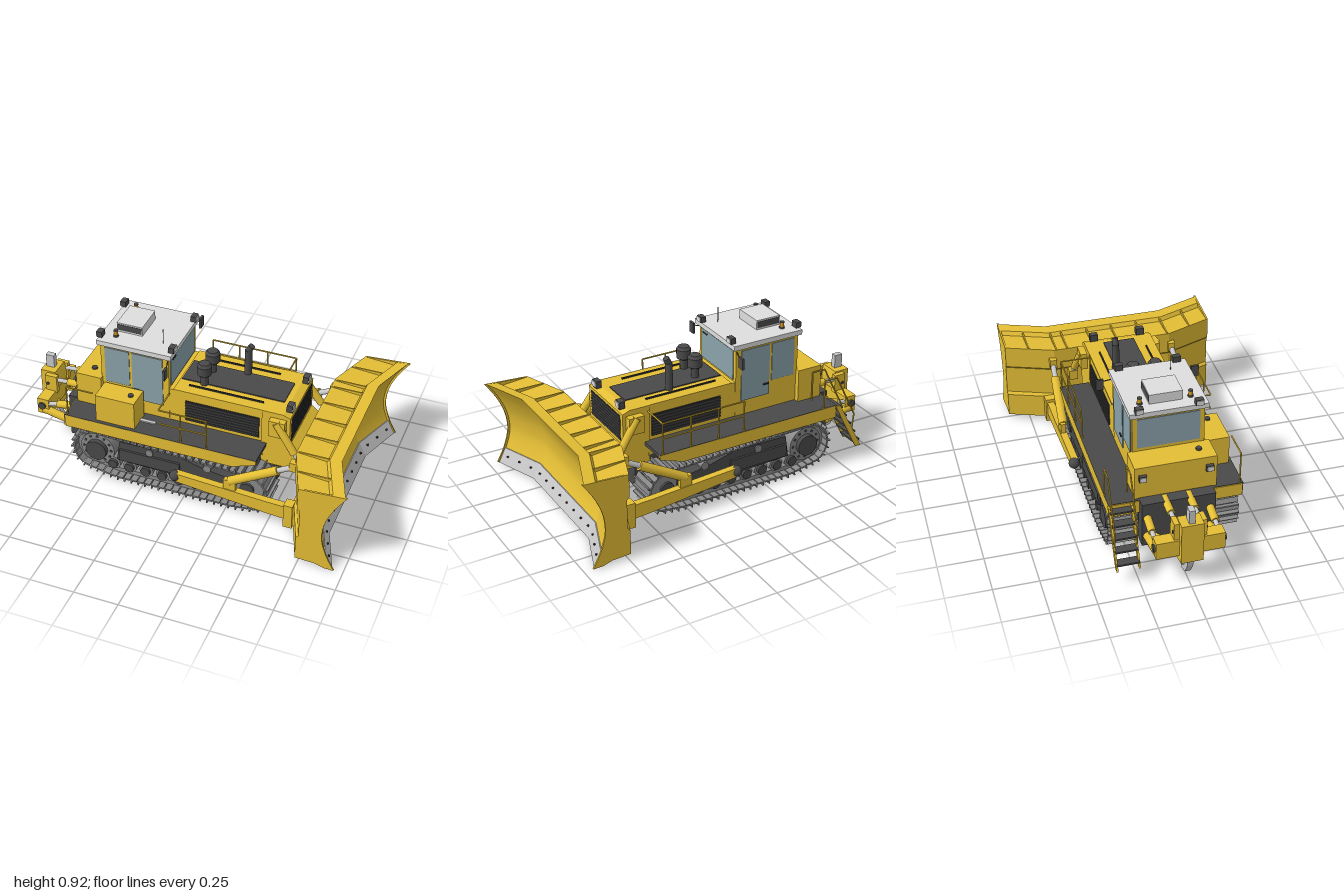
import * as THREE from 'three';
import { mergeGeometries, toCreasedNormals } from 'three/addons/utils/BufferGeometryUtils.js';

const mat = (name, color) => {
  const m = new THREE.MeshStandardMaterial({ color });
  m.name = name;
  return m;
};

export function createModel() {
  const root = new THREE.Group();
  root.name = 'bulldozer';
  const yellow = mat('yellow paint', 0xe4be35), dark = mat('dark grey', 0x4a4a4a), black = mat('black', 0x2e2e2e);
  const light = mat('bright metal', 0xc8c8c8), white = mat('roof white', 0xdedede), steel = mat('track steel', 0x8a8a8a);
  const glass = mat('glass', 0x8aa2aa), amber = mat('amber', 0xd99a20);
  const V = (x, y, z) => new THREE.Vector3(x, y, z);

  const add = (name, geo, m) => {
    const mesh = new THREE.Mesh(geo, m);
    mesh.name = name;
    root.add(mesh);
    return mesh;
  };
  const boxGeo = (x0, x1, y0, y1, z0, z1) =>
    new THREE.BoxGeometry(Math.abs(x1 - x0), Math.abs(y1 - y0), Math.abs(z1 - z0))
      .translate((x0 + x1) / 2, (y0 + y1) / 2, (z0 + z1) / 2);
  const box = (name, m, ...b) => add(name, boxGeo(...b), m);
  const rod = (name, m, a, b, r, r2 = r, n = 14) => {
    const mesh = add(name, new THREE.CylinderGeometry(r2, r, a.distanceTo(b), n), m);
    mesh.position.copy(a).lerp(b, 0.5);
    mesh.quaternion.setFromUnitVectors(V(0, 1, 0), b.clone().sub(a).normalize());
    return mesh;
  };
  const plate = (name, m, pts, z0, z1) => add(name, new THREE.ExtrudeGeometry(
    new THREE.Shape(pts.map(p => new THREE.Vector2(...p))), { depth: z1 - z0, bevelEnabled: false }).translate(0, 0, z0), m);
  const rails = (name, pts, r = 0.0045) => pts.slice(1).forEach((p, i) => rod(name, yellow, V(...pts[i]), V(...p), r, r, 6));
  // hydraulic cylinder: thick barrel, then a thin bright rod
  const ram = (name, a, b, r, split = 0.65) => {
    const mid = a.clone().lerp(b, split);
    rod(name + 'Barrel', yellow, a, mid, r);
    rod(name + 'Rod', light, mid, b, r * 0.6);
  };

  // Blade: one section swept across, with both wings angled forward
  const HALF = 0.62, MID = 0.35;
  const shift = z => -0.1 + 0.1 * Math.max(0, Math.abs(z) - MID) / (HALF - MID);
  const sweep = pts => {
    const g = new THREE.ExtrudeGeometry(new THREE.Shape(pts), { depth: 2 * HALF, steps: 3, bevelEnabled: false });
    const p = g.attributes.position;
    for (let i = 0; i < p.count; i++) {
      const z0 = p.getZ(i) - HALF, z = Math.abs(z0) < 0.5 ? Math.sign(z0) * MID : z0;
      p.setXYZ(i, p.getX(i) + shift(z), p.getY(i), z);
    }
    return toCreasedNormals(g, 0.28);
  };
  const P = (x, y) => new THREE.Vector2(x, y);
  const face = new THREE.SplineCurve([P(0.94, 0.005), P(0.897, 0.088), P(0.868, 0.18), P(0.866, 0.25),
    P(0.882, 0.33), P(0.925, 0.425), P(0.985, 0.515)]).getPoints(24);
  const back = [P(0.735, 0.5), P(0.735, 0.37), P(0.75, 0.355), P(0.75, 0.185), P(0.735, 0.17), P(0.735, 0.027)];
  const section = [...back, P(0.84, 0.022), P(0.89, 0.005), ...face, P(0.92, 0.508), P(0.905, 0.485)];
  add('blade', sweep(section), yellow);
  add('cuttingEdge', sweep([P(0.935, 0.001), P(0.945, 0.001), P(0.903, 0.086), P(0.89, 0.086)]), light);
  for (let i = 0; i < 14; i++) {
    const z = (i - 6.5) * 0.0875, x = 0.92 + shift(z);
    rod('edgeBolt', black, V(x, 0.047, z), V(x + 0.009, 0.051, z), 0.006, 0.006, 8);
  }
  for (const z of [-0.49, -0.335, -0.27, -0.115, 0.035, 0.19, 0.34, 0.49])
    box('bladeTopRib', yellow, 0.74 + shift(z), 0.915 + shift(z), 0.47, 0.504, z - 0.004, z + 0.004);
  for (const s of [-1, 1]) {
    const end = section.slice(0, -2).map(p => [p.x + (p.x > 0.85 ? 0.01 : 0), p.y]);
    plate('bladeEndPlate', yellow, end, s * 0.617 - 0.005, s * 0.617 + 0.005);
  }

  // Hull and side decks
  box('hull', dark, -0.69, 0.48, 0.12, 0.33, -0.19, 0.19);
  box('frameTop', yellow, -0.69, 0.4, 0.3, 0.385, -0.2, 0.2);
  for (const s of [-1, 1]) {
    plate('deckSide', yellow, [[-0.7, 0.31], [0.28, 0.31], [0.42, 0.36], [0.42, 0.385], [-0.7, 0.385]],
      s * 0.36 - 0.006, s * 0.36 + 0.006);
    box('deck', dark, -0.705, 0.42, 0.366, 0.387, s * 0.18, s * 0.365);
  }
  box('rearDeckEdge', yellow, -0.71, -0.69, 0.31, 0.384, -0.36, 0.36);

  // Hood and radiator guard
  box('hood', yellow, -0.16, 0.4, 0.38, 0.595, -0.19, 0.19);
  box('hoodTopPanel', dark, -0.11, 0.48, 0.6, 0.607, -0.09, 0.09);
  plate('radiatorGuard', yellow, [[0.39, 0.25], [0.6, 0.25], [0.6, 0.36], [0.55, 0.4], [0.55, 0.585], [0.51, 0.601], [0.39, 0.601]], -0.197, 0.197);
  box('hoodTopSkin', yellow, -0.12, 0.4, 0.59, 0.601, -0.195, 0.195);
  box('frontGrille', black, 0.545, 0.552, 0.42, 0.568, -0.17, 0.17);
  for (let i = 0; i < 8; i++) box('frontGrilleSlat', dark, 0.551, 0.554, 0.428 + i * 0.018, 0.434 + i * 0.018, -0.17, 0.17);
  for (const s of [-1, 1]) {
    box('sideGrille', black, -0.05, 0.375, 0.41, 0.54, s * 0.188, s * 0.196);
    for (let i = 0; i < 7; i++)
      box('sideGrilleSlat', dark, -0.05, 0.375, 0.417 + i * 0.018, 0.423 + i * 0.018, s * 0.194, s * 0.2);
    box('hoodGrabBar', black, -0.05, 0.38, 0.605, 0.613, s * 0.137 - 0.004, s * 0.137 + 0.004);
    box('headlight', dark, 0.515, 0.548, 0.598, 0.64, s * 0.137 - 0.023, s * 0.137 + 0.023);
    box('headlightLens', white, 0.548, 0.553, 0.605, 0.636, s * 0.137 - 0.02, s * 0.137 + 0.02);
  }

  // Air cleaners and exhaust stack
  for (const z of [-0.037, 0.088]) {
    const profile = [[0, 0.6], [0.022, 0.6], [0.022, 0.662], [0.038, 0.67], [0.041, 0.674], [0.041, 0.725], [0.03, 0.741], [0, 0.745]];
    add('airCleaner', toCreasedNormals(new THREE.LatheGeometry(profile.map(p => P(...p)), 20), 0.5), dark).position.set(0.02, 0, z);
  }
  rod('exhaustStack', dark, V(0.21, 0.6, -0.087), V(0.21, 0.76, -0.087), 0.021);
  rod('exhaustTip', dark, V(0.207, 0.75, -0.087), V(0.228, 0.79, -0.087), 0.018);

  // Cab
  box('cabLower', yellow, -0.545, -0.145, 0.38, 0.56, -0.192, 0.192);
  box('cabUpper', yellow, -0.545, -0.145, 0.55, 0.8, -0.195, 0.195);
  for (const s of [-1, 1]) {
    box('rearSideWindow', glass, -0.52, -0.375, 0.555, 0.78, s * 0.19, s * 0.199);
    box('frontSideWindow', glass, -0.36, -0.18, 0.475, 0.78, s * 0.19, s * 0.199);
    box('doorHandle', black, -0.35, -0.32, 0.54, 0.548, s * 0.195, s * 0.206);
  }
  box('windshield', glass, -0.15, -0.141, 0.605, 0.78, -0.17, 0.17);
  box('rearWindow', glass, -0.549, -0.54, 0.6, 0.78, -0.17, 0.17);
  rod('wiper', black, V(-0.139, 0.763, 0.15), V(-0.139, 0.763, 0.105), 0.004, 0.004, 6);
  box('roof', white, -0.56, -0.125, 0.796, 0.825, -0.212, 0.212);
  box('airConditioner', white, -0.49, -0.34, 0.82, 0.88, -0.09, 0.09);
  for (const s of [-1, 1]) box('airConditionerVent', dark, -0.485, -0.345, 0.835, 0.872, s * 0.086, s * 0.0915);
  rod('antenna', dark, V(-0.21, 0.82, 0.107), V(-0.21, 0.915, 0.107), 0.002, 0.002, 6);
  for (const s of [-1, 1]) {
    rod('beaconBase', dark, V(-0.475, 0.82, s * 0.137), V(-0.475, 0.836, s * 0.137), 0.015);
    rod('beacon', amber, V(-0.475, 0.836, s * 0.137), V(-0.475, 0.86, s * 0.137), 0.012);
    rod('beaconCap', dark, V(-0.475, 0.86, s * 0.137), V(-0.475, 0.865, s * 0.137), 0.013);
    for (const [x, d] of [[-0.555, -1], [-0.135, 1]]) {
      box('roofLamp', dark, x - 0.016, x + 0.016, 0.825, 0.858, s * 0.16 - 0.022, s * 0.16 + 0.022);
      box('roofLampLens', white, x + d * 0.015, x + d * 0.02, 0.829, 0.855, s * 0.16 - 0.019, s * 0.16 + 0.019);
    }
    box('mirror', dark, -0.143, -0.13, 0.714, 0.778, s * 0.244, s * 0.286);
    rod('mirrorArm', dark, V(-0.15, 0.78, s * 0.19), V(-0.137, 0.765, s * 0.25), 0.003, 0.003, 6);
  }

  // Fuel tank, side box
  box('fuelTank', yellow, -0.69, -0.54, 0.37, 0.58, -0.222, 0.222);
  rod('fuelCap', dark, V(-0.61, 0.58, 0.145), V(-0.61, 0.59, 0.145), 0.016);
  box('sideBox', yellow, -0.52, -0.29, 0.385, 0.555, 0.212, 0.345);
  rod('sideBoxCap', dark, V(-0.335, 0.555, 0.28), V(-0.335, 0.565, 0.28), 0.015);
  box('sideStep', light, -0.29, -0.2, 0.387, 0.395, 0.25, 0.27);
  for (const s of [-1, 1]) {
    box('rearLamp', dark, -0.71, -0.69, 0.5, 0.535, s * 0.18 - 0.02, s * 0.18 + 0.02);
    box('rearLampLens', white, -0.714, -0.709, 0.504, 0.531, s * 0.18 - 0.016, s * 0.18 + 0.016);
  }

  // Handrails
  rails('leftRail', [[-0.14, 0.57, 0.2], [-0.14, 0.57, 0.36], [0.135, 0.57, 0.36], [0.135, 0.385, 0.36]]);
  rails('leftRailPost', [[-0.013, 0.57, 0.36], [-0.013, 0.385, 0.36]]);
  rails('leftMidRail', [[-0.14, 0.48, 0.36], [0.135, 0.48, 0.36]]);
  rails('leftRearRail', [[-0.53, 0.57, 0.35], [-0.69, 0.57, 0.35], [-0.69, 0.385, 0.35]]);
  rails('rightRail', [[-0.1, 0.385, -0.36], [-0.1, 0.57, -0.36], [0.4, 0.57, -0.36], [0.4, 0.57, -0.2]]);
  for (const x of [0.06, 0.23, 0.4]) rails('rightRailPost', [[x, 0.57, -0.36], [x, 0.385, -0.36]]);
  rails('rightMidRail', [[-0.1, 0.48, -0.36], [0.4, 0.48, -0.36]]);

  // Rear ladder on the right deck
  for (const z of [-0.365, -0.245]) {
    plate('ladderSide', yellow, [[-0.7, 0.38], [-0.73, 0.38], [-0.885, 0.085], [-0.85, 0.085]], z - 0.005, z + 0.005);
    rails('ladderRail', [[-0.62, 0.385, z], [-0.62, 0.56, z], [-0.7, 0.56, z], [-0.83, 0.3, z], [-0.82, 0.2, z]]);
  }
  for (let i = 0; i < 5; i++) {
    const x = -0.855 + i * 0.032, y = 0.115 + i * 0.06;
    box('ladderTread', dark, x - 0.025, x + 0.025, y, y + 0.01, -0.365, -0.245);
  }

  // Tracks: link belt, shoes with grousers, wheels and frame
  const outline = d => {
    const pts = [];
    const arc = (cx, cy, r, a0, a1) => {
      for (let i = 0; i <= 16; i++) {
        const a = THREE.MathUtils.degToRad(a0 + (a1 - a0) * i / 16);
        pts.push(P(cx + r * Math.cos(a), cy + r * Math.sin(a)));
      }
    };
    arc(0.36, 0.145, 0.122 - d, -60, 92);
    arc(-0.53, 0.17, 0.13 - d, 92, 235);
    pts.push(P(-0.42, 0.022 + d), P(0.28, 0.022 + d), pts[0].clone());
    return pts;
  };
  const belt = new THREE.Shape(outline(0.005));
  belt.holes.push(new THREE.Path(outline(0.03)));
  const linkGeo = new THREE.ExtrudeGeometry(belt, { depth: 0.07, bevelEnabled: false }).translate(0, 0, -0.035);
  const N = 62, path = new THREE.Path(outline(0)).getSpacedPoints(N), shoes = [];
  for (let i = 0; i < N; i++) {
    const a = path[i], b = path[i + 1], ang = Math.atan2(b.y - a.y, b.x - a.x);
    for (const g of [boxGeo(-0.018, 0.018, -0.005, 0.005, -0.083, 0.083), boxGeo(-0.018, -0.011, -0.022, -0.004, -0.083, 0.083)])
      shoes.push(g.rotateZ(ang).translate((a.x + b.x) / 2, (a.y + b.y) / 2, 0));
  }
  const shoeGeo = mergeGeometries(shoes);
  const wheel = (name, m, x, y, z, r, w) => rod(name, m, V(x, y, z - w / 2), V(x, y, z + w / 2), r, r, 24);
  for (const s of [-1, 1]) {
    const z = s * 0.277;
    add('trackLinks', linkGeo, steel).position.z = z;
    add('trackShoes', shoeGeo, steel).position.z = z;
    wheel('sprocket', steel, -0.53, 0.17, z, 0.102, 0.1);
    wheel('sprocketHub', dark, -0.53, 0.17, z, 0.062, 0.155);
    for (let i = 0; i < 12; i++) {
      const a = i * Math.PI / 6;
      wheel('sprocketBolt', dark, -0.53 + 0.082 * Math.cos(a), 0.17 + 0.082 * Math.sin(a), z, 0.008, 0.108);
    }
    wheel('idler', steel, 0.36, 0.145, z, 0.094, 0.09);
    wheel('idlerHub', dark, 0.36, 0.145, z, 0.04, 0.12);
    for (let i = 0; i < 8; i++) {
      const x = -0.435 + i * 0.0993;
      wheel('roller', steel, x, 0.093, z, 0.041, 0.1);
      wheel('rollerCap', dark, x, 0.093, z, 0.028, 0.135);
    }
    plate('trackFrame', dark, [[-0.41, 0.13], [0.3, 0.11], [0.3, 0.19], [0.1, 0.22], [-0.05, 0.262], [-0.39, 0.262]], z - 0.058, z + 0.058);
    box('frameGuard', dark, -0.39, -0.03, 0.14, 0.215, z - 0.07, z + 0.07);
    wheel('carrierRoller', steel, -0.21, 0.235, z, 0.022, 0.13);
    wheel('carrierRoller', steel, 0.13, 0.225, z, 0.022, 0.12);

    // Push arms, tilt braces and lift rams
    plate('pushArm', yellow, [[-0.03, 0.145], [0.5, 0.085], [0.63, 0.075], [0.63, 0.16], [0.5, 0.165], [-0.03, 0.2]], s * 0.39 - 0.02, s * 0.39 + 0.02);
    add('pushArmBall', new THREE.SphereGeometry(0.031, 18, 12), dark).position.set(-0.035, 0.175, s * 0.395);
    box('armBracket', yellow, 0.6, 0.65, 0.03, 0.18, s * 0.36, s * 0.42);
    box('braceFoot', yellow, 0.25, 0.32, 0.16, 0.24, s * 0.375, s * 0.405);
    ram('brace', V(0.28, 0.225, s * 0.385), V(0.65, 0.42, s * 0.36), 0.026, 0.72);
    box('braceBracket', yellow, 0.61, 0.65, 0.39, 0.445, s * 0.34, s * 0.38);
    ram('lift', V(0.48, 0.56, s * 0.225), V(0.63, 0.34, s * 0.245), 0.022, 0.75);
    box('liftMount', yellow, 0.44, 0.53, 0.47, 0.57, s * 0.19, s * 0.235);
    box('liftFoot', yellow, 0.6, 0.65, 0.3, 0.36, s * 0.22, s * 0.27);
  }
  box('bladeCrossbar', yellow, 0.58, 0.65, 0.2, 0.28, -0.11, 0.11);

  // Ripper at the rear
  box('ripperMount', dark, -0.755, -0.69, 0.12, 0.39, -0.2, 0.2);
  box('ripperBeam', yellow, -0.97, -0.9, 0.2, 0.3, -0.185, 0.185);
  plate('ripperHead', yellow, [[-1, 0.17], [-0.91, 0.15], [-0.9, 0.36], [-0.91, 0.41], [-1, 0.41]], -0.06, 0.06);
  plate('ripperShank', light, [[-0.985, 0.49], [-0.985, 0.2], [-0.965, 0.11], [-0.925, 0.045], [-0.865, 0.025],
    [-0.86, 0.04], [-0.905, 0.075], [-0.93, 0.13], [-0.935, 0.2], [-0.935, 0.49]], -0.016, 0.016);
  for (const s of [-1, 1]) {
    rod('ripperLowerArm', yellow, V(-0.7, 0.17, s * 0.17), V(-0.94, 0.225, s * 0.17), 0.024);
    rod('ripperBrace', yellow, V(-0.72, 0.18, s * 0.15), V(-0.93, 0.22, s * 0.05), 0.012, 0.012, 8);
    ram('ripperLift', V(-0.7, 0.31, s * 0.17), V(-0.94, 0.26, s * 0.17), 0.022, 0.6);
    ram('ripperTilt', V(-0.7, 0.375, s * 0.065), V(-0.93, 0.365, s * 0.065), 0.021, 0.55);
    box('ripperEar', yellow, -0.96, -0.89, 0.29, 0.4, s * 0.06, s * 0.088);
    rod('ripperEarPin', dark, V(-0.945, 0.345, s * 0.08), V(-0.945, 0.345, s * 0.093), 0.01);
    rod('ripperPin', dark, V(-0.94, 0.255, s * 0.15), V(-0.94, 0.255, s * 0.195), 0.022);
  }
  return root;
}
